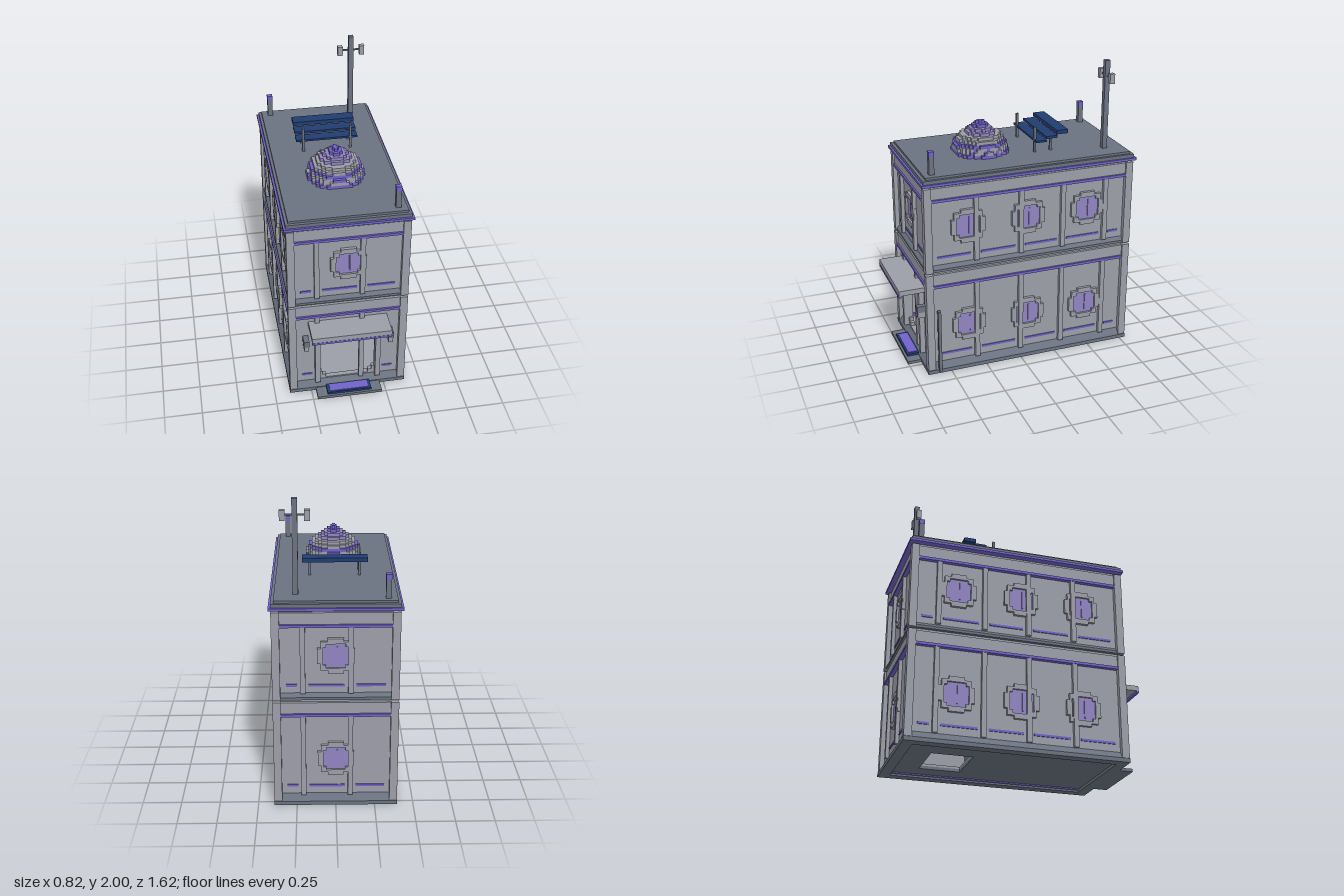
import * as THREE from 'three';

const mat = (name, color, side = THREE.FrontSide) => {
  const m = new THREE.MeshStandardMaterial({ color, side });
  m.name = name;
  return m;
};

export function createModel() {
  const light = mat('light grey', 0x9c9ea8), dark = mat('dark grey', 0x6b7280);
  const purple = mat('purple trim', 0x7062c8), glass = mat('lavender glass', 0x9084c0);
  const navy = mat('navy', 0x203c70);
  const root = new THREE.Group();
  root.name = 'building';
  const W = 0.395, ZF = 0.66, ZB = -0.79, ZC = (ZF + ZB) / 2;

  const add = (parent, name, geo, m) => {
    const mesh = new THREE.Mesh(geo, m);
    mesh.name = name;
    parent.add(mesh);
    return mesh;
  };
  // box given by its limits on each axis
  const box = (p, name, m, x0, x1, y0, y1, z0, z1) => {
    const mesh = add(p, name, new THREE.BoxGeometry(x1 - x0, y1 - y0, z1 - z0), m);
    mesh.position.set((x0 + x1) / 2, (y0 + y1) / 2, (z0 + z1) / 2);
    return mesh;
  };
  // mirrors a quarter outline (from +x axis to +y axis) into a closed outline
  const fourWay = (quarter, cx = 0, cy = 0) => {
    const back = [...quarter].reverse();
    return [...quarter, ...back.map(([x, y]) => [-x, y]), ...quarter.map(([x, y]) => [-x, -y]),
      ...back.map(([x, y]) => [x, -y])].map(([x, y]) => new THREE.Vector2(x + cx, y + cy));
  };
  const plate = (outline, holes, depth) => {
    const s = new THREE.Shape(outline);
    holes.forEach(h => s.holes.push(new THREE.Path(h)));
    return new THREE.ExtrudeGeometry(s, { depth, bevelEnabled: false });
  };
  const rect = (x0, x1, y0, y1) => [[x0, y0], [x1, y0], [x1, y1], [x0, y1]].map(p => new THREE.Vector2(...p));
  const ringGeo = plate(
    fourWay([[0.115, 0.05], [0.095, 0.05], [0.095, 0.095], [0.05, 0.095], [0.05, 0.115]]),
    [fourWay([[0.08, 0.06], [0.06, 0.06], [0.06, 0.08]])], 0.022);

  // one side of the building; local z = 0 is the plane of the corner posts
  function facade(name, half, windows, pilasters, door) {
    const g = new THREE.Group();
    g.name = name;
    const w = half - 0.03;
    const hole = fourWay([[0.19, 0.16], [0.17, 0.16], [0.17, 0.185], [0.145, 0.185], [0.145, 0.21]], 0, 0.29);
    add(g, 'wall', plate(rect(-w, w, 0.02, 1.345), door ? [hole] : [], 0.03), light).position.z = -0.06;
    for (const [i, y] of [0, 0.71].entries()) {
      const inner = half - 0.05;
      box(g, 'topBeam', light, -inner, inner, y + (i ? 0.54 : 0.65), y + (i ? 0.615 : 0.725), -0.035, -0.012);
      const b = i ? 1.23 : 0.63;
      box(g, 'trimBand', purple, -inner, inner, b, b + 0.018, -0.035, -0.002);
      for (const p of pilasters)
        box(g, 'pilaster', light, p - 0.016, p + 0.016, i ? 0.79 : 0.07, b, -0.035, -0.006);
      // purple dashes inside each wall panel
      const edges = [-inner, ...[...pilasters].sort((a, c) => a - c), inner];
      for (let k = 0; k + 1 < edges.length; k++) {
        let [a, c] = [edges[k] + 0.035, edges[k + 1] - 0.035];
        if (door && !i) {
          if (k === 1) continue;
          if (k === 2) a = 0.24;
        }
        if (c > a) box(g, 'lowDash', purple, a, c, y + 0.12, y + 0.135, -0.035, -0.024);
      }
      if (door && !i) continue;
      for (const x of windows) {
        const cy = 0.33 + y;
        add(g, 'windowFrame', ringGeo, light).position.set(x, cy, -0.032);
        box(g, 'windowGlass', glass, x - 0.082, x + 0.082, cy - 0.082, cy + 0.082, -0.032, -0.024);
        box(g, 'windowBar', glass, x + 0.005, x + 0.013, cy - 0.06, cy + 0.06, -0.025, -0.017);
      }
    }
    root.add(g);
    return g;
  }
  const halfL = (ZF - ZB) / 2;
  const winZ = [0.365, -0.05, -0.47], pilZ = [0.31, 0, -0.295, -0.6];
  facade('frontFacade', W, [0], [-0.205, 0.093], true).position.z = ZF;
  const back = facade('backFacade', W, [0], [-0.205, 0.093], false);
  back.position.z = ZB;
  back.rotation.y = Math.PI;
  for (const s of [1, -1]) {
    const side = facade(s > 0 ? 'leftFacade' : 'rightFacade', halfL,
      winZ.map(z => -s * (z - ZC)), pilZ.map(z => -s * (z - ZC)), false);
    side.position.set(s * W, 0, ZC);
    side.rotation.y = s * Math.PI / 2;
  }

  // corner posts of both storeys
  for (const x of [-W, W - 0.05]) for (const z of [ZB, ZF - 0.05])
    for (const [y0, y1] of [[0.02, 0.73], [0.745, 1.33]])
      box(root, 'cornerPost', light, x, x + 0.05, y0, y1, z, z + 0.05);

  // sloping skirts: four-sided rings that narrow towards the top
  function skirt(name, y0, y1, out, inset) {
    const rings = [[out, y0], [out, y0 + (y1 - y0) * 0.35], [out - inset, y1], [out - 0.07, y1], [out - 0.07, y0], [out, y0]];
    const pos = [];
    const corner = ([o, y], k) => [(k === 1 || k === 2 ? 1 : -1) * (W + o), y, ZC + (k < 2 ? 1 : -1) * (halfL + o)];
    for (let r = 0; r + 1 < rings.length; r++) for (let k = 0; k < 4; k++) {
      const n = (k + 1) % 4;
      const [a, b, c, d] = [corner(rings[r], k), corner(rings[r], n), corner(rings[r + 1], n), corner(rings[r + 1], k)];
      pos.push(...a, ...b, ...c, ...a, ...c, ...d);
    }
    const geo = new THREE.BufferGeometry();
    geo.setAttribute('position', new THREE.Float32BufferAttribute(pos, 3));
    geo.computeVertexNormals();
    add(root, name, geo, dark);
  }
  skirt('basePlinth', 0, 0.075, 0.002, 0.035);
  skirt('storeyBand', 0.745, 0.795, -0.008, 0.03);

  // ground floor slab with a hatch, and the upper floor
  const slab = (name, m, y, t, holes) => {
    const o = add(root, name, plate(rect(-0.36, 0.36, -0.625, 0.755), holes, t), m);
    o.rotation.x = -Math.PI / 2;
    o.position.y = y;
  };
  const hatch = rect(-0.14, 0.19, 0.29, 0.56);
  slab('floorUnderside', dark, 0.02, 0.02, [hatch]);
  slab('floor', light, 0.04, 0.015, [hatch]);
  slab('upperFloor', light, 0.715, 0.03, []);
  for (const s of [-1, 1]) {
    box(root, 'undersideStrip', purple, s * 0.335 - 0.02, s * 0.335 + 0.02, 0.012, 0.02, ZB + 0.07, ZF - 0.07);
    box(root, 'skirting', purple, s * 0.325 - 0.008, s * 0.325 + 0.008, 0.055, 0.075, -0.19, 0.59);
  }
  // inner partition with a round panel facing the doorway
  box(root, 'partition', dark, -0.34, 0.34, 0.055, 0.715, -0.22, -0.2);
  const disc = add(root, 'roundPanel', new THREE.CylinderGeometry(0.1, 0.1, 0.009, 40), light);
  disc.rotation.x = Math.PI / 2;
  disc.position.set(0, 0.285, -0.196);

  // doorway: jambs, lintel, canopy, wall lamps and step
  for (const s of [-1, 1]) {
    box(root, 'doorJamb', light, s * 0.205 - 0.017, s * 0.205 + 0.017, 0.07, 0.54, 0.62, 0.665);
    box(root, 'lampHead', dark, s * 0.283 - 0.018, s * 0.283 + 0.018, 0.425, 0.47, 0.63, 0.7);
    box(root, 'lampBody', light, s * 0.283 - 0.015, s * 0.283 + 0.015, 0.385, 0.425, 0.63, 0.695);
  }
  box(root, 'doorLintel', light, -0.19, 0.19, 0.5, 0.54, 0.62, 0.66);
  box(root, 'canopy', light, -0.262, 0.262, 0.55, 0.585, 0.625, 0.808);
  box(root, 'canopyLip', purple, -0.262, 0.262, 0.535, 0.55, 0.793, 0.81);
  box(root, 'doorStep', dark, -0.22, 0.22, 0, 0.02, 0.62, 0.755);
  box(root, 'doorMat', navy, -0.15, 0.15, 0.02, 0.035, 0.64, 0.74);
  box(root, 'matInlay', purple, -0.13, 0.13, 0.035, 0.039, 0.665, 0.728);
  box(root, 'drainPipe', dark, 0.39, 0.414, 0.02, 0.47, 0.57, 0.59);

  // layered roof
  box(root, 'eaves', purple, -0.41, 0.41, 1.345, 1.362, -0.806, 0.674);
  box(root, 'roofSlab', dark, -0.396, 0.396, 1.362, 1.385, -0.792, 0.66);
  box(root, 'roofTop', dark, -0.378, 0.378, 1.385, 1.4, -0.772, 0.64);
  for (const [x, z] of [[-0.32, -0.72], [0.32, 0.585]]) {
    box(root, 'roofPost', dark, x - 0.017, x + 0.017, 1.4, 1.52, z - 0.017, z + 0.017);
    box(root, 'roofPostCap', purple, x - 0.018, x + 0.018, 1.52, 1.552, z - 0.018, z + 0.018);
  }

  // antenna mast
  box(root, 'mast', dark, 0.228, 0.262, 1.4, 2, -0.657, -0.623);
  box(root, 'mastBar', dark, 0.17, 0.32, 1.893, 1.903, -0.645, -0.635);
  for (const s of [-1, 1])
    box(root, 'mastBox', light, 0.245 + s * 0.075 - 0.017, 0.245 + s * 0.075 + 0.017, 1.863, 1.928, -0.657, -0.623);

  // stepped solar panel on four legs
  for (const [z0, z1, y0, y1] of [[-0.245, -0.17, 1.475, 1.488], [-0.32, -0.24, 1.495, 1.512], [-0.395, -0.315, 1.518, 1.545]])
    box(root, 'solarPanel', navy, -0.208, 0.208, y0, y1, z0, z1);
  for (const x of [-0.16, 0.16]) {
    box(root, 'panelFrontLeg', dark, x - 0.008, x + 0.008, 1.4, 1.57, -0.185, -0.169);
    box(root, 'panelBackLeg', dark, x - 0.008, x + 0.008, 1.4, 1.5, -0.298, -0.282);
  }

  // blocky dome: each layer is a disc of small square-ended bars
  const dome = new THREE.Group();
  dome.name = 'dome';
  dome.position.set(0, 1.4, 0.15);
  root.add(dome);
  const radii = [0.187, 0.18, 0.174, 0.163, 0.15, 0.13, 0.098, 0.075, 0.045, 0.022];
  const tones = [purple, light, light, purple, light, light, glass, glass, purple, purple];
  const c = 0.0208;
  radii.forEach((r, i) => {
    for (let k = -9; k <= 9; k++) {
      const z = k * c;
      if (Math.abs(z) > r) continue;
      const h = Math.max(0.5, Math.round(Math.sqrt(r * r - z * z) / c)) * c;
      const m = (i === 1 || i === 2) && (k + i + 18) % 4 === 0 ? purple : tones[i];
      box(dome, 'domeBar', m, -h, h, i * c, (i + 1) * c, z - c / 2, z + c / 2);
    }
  });
  return root;
}
